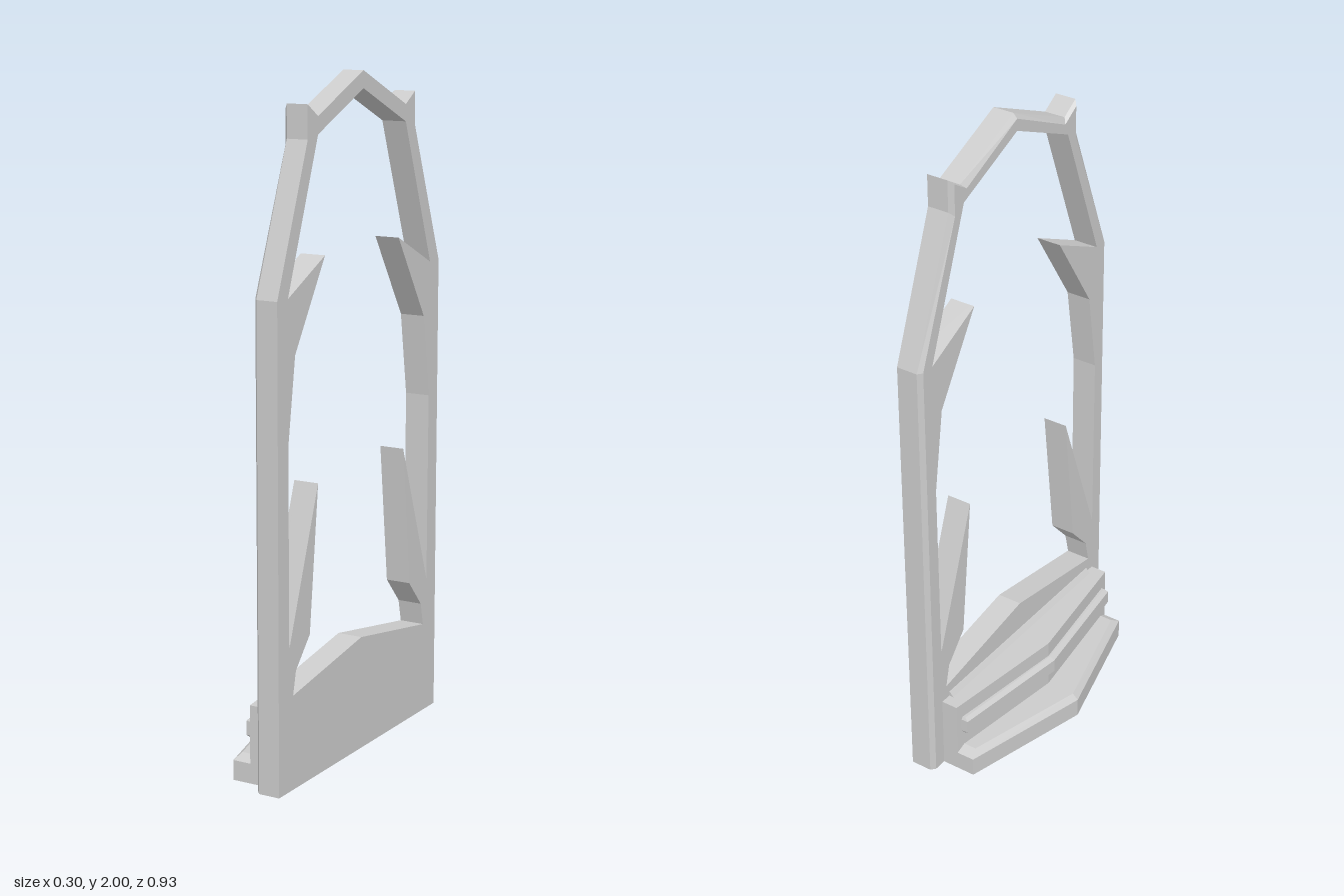
import * as THREE from 'three';
import { ConvexGeometry } from 'three/addons/geometries/ConvexGeometry.js';

const material = new THREE.MeshStandardMaterial({ color: 0xcccccc, flatShading: true });

// Half outlines as [distance from the middle, height], bottom to top
const outer = [[0.465, 0], [0.465, 1.41], [0.305, 1.83], [0.305, 1.925], [0.25, 1.89]];
const inner = [
  [0.388, 0.28], [0.372, 0.35], [0.296, 0.435], [0.25, 0.865], [0.408, 0.42], // lower thorn
  [0.41, 1.0], [0.373, 1.25], [0.212, 1.505], [0.41, 1.41], // upper thorn
  [0.25, 1.84],
];

// Closed mirrored outline with a point at the top centre and optionally the bottom centre
function mirrored(half, top, bottom) {
  const pts = half.map(([u, v]) => new THREE.Vector2(u, v));
  pts.push(new THREE.Vector2(0, top));
  for (const [u, v] of [...half].reverse()) pts.push(new THREE.Vector2(-u, v));
  if (bottom !== undefined) pts.push(new THREE.Vector2(0, bottom));
  return pts;
}

// Arched frame, with its outer edge chamfered on the -x side
function frameGeometry() {
  const shape = new THREE.Shape(mirrored(outer, 2));
  shape.holes.push(new THREE.Path(mirrored(inner, 1.95, 0.345)));
  const geo = new THREE.ExtrudeGeometry(shape, { depth: 2, steps: 2, bevelEnabled: false });
  const layers = [0.067, 0.079, 0.145];
  const rim = [...outer, [0, 2]];
  const p = geo.attributes.position;
  for (let i = 0; i < p.count; i++) {
    const u = p.getX(i), v = p.getY(i), layer = Math.round(p.getZ(i));
    p.setZ(i, layers[layer]);
    const onRim = rim.some(([a, b]) => Math.abs(Math.abs(u) - a) < 1e-4 && Math.abs(v - b) < 1e-4);
    if (layer === 0 && onRim) {
      p.setX(i, u - Math.sign(u) * 0.014);
      if (v > 1.5) p.setY(i, v - 0.014);
    }
  }
  geo.rotateY(Math.PI / 2);
  geo.computeVertexNormals();
  return geo;
}

// Pointed step: each tier is [height, half length, x at the ends, x at the middle, x at the back]
function pointedStep(name, tiers) {
  const pts = [];
  for (const [y, h, xEnd, xMid, xBack = 0.08] of tiers) {
    pts.push(new THREE.Vector3(xMid, y, 0));
    for (const s of [-1, 1]) {
      pts.push(new THREE.Vector3(xEnd, y, s * h), new THREE.Vector3(xBack, y, s * h));
    }
  }
  return part(name, new ConvexGeometry(pts));
}

function part(name, geometry) {
  const mesh = new THREE.Mesh(geometry, material);
  mesh.name = name;
  return mesh;
}

export function createModel() {
  const group = new THREE.Group();
  group.name = 'thornedArch';
  group.add(part('archFrame', frameGeometry()));

  const base = new THREE.Group();
  base.name = 'steppedBase';
  base.add(
    // bottom slab with a bevelled front edge
    pointedStep('bottomStep', [[0, 0.41, -0.042, -0.15], [0.06, 0.41, -0.042, -0.15], [0.077, 0.38, -0.03, -0.132]]),
    // upright block behind it
    pointedStep('ledgeBlock', [[0.05, 0.41, 0.015, -0.04], [0.235, 0.41, 0.015, -0.04]]),
    // bar along the block's face
    pointedStep('faceBar', [
      [0.128, 0.385, 0.002, -0.045], [0.136, 0.39, -0.01, -0.062],
      [0.178, 0.39, -0.01, -0.062], [0.186, 0.385, 0.002, -0.045],
    ]),
    // low fillet between the ledge and the frame
    pointedStep('ledgeFillet', [[0.23, 0.375, 0.048, 0.048], [0.25, 0.375, 0.064, 0.064]]),
  );
  group.add(base);
  return group;
}
